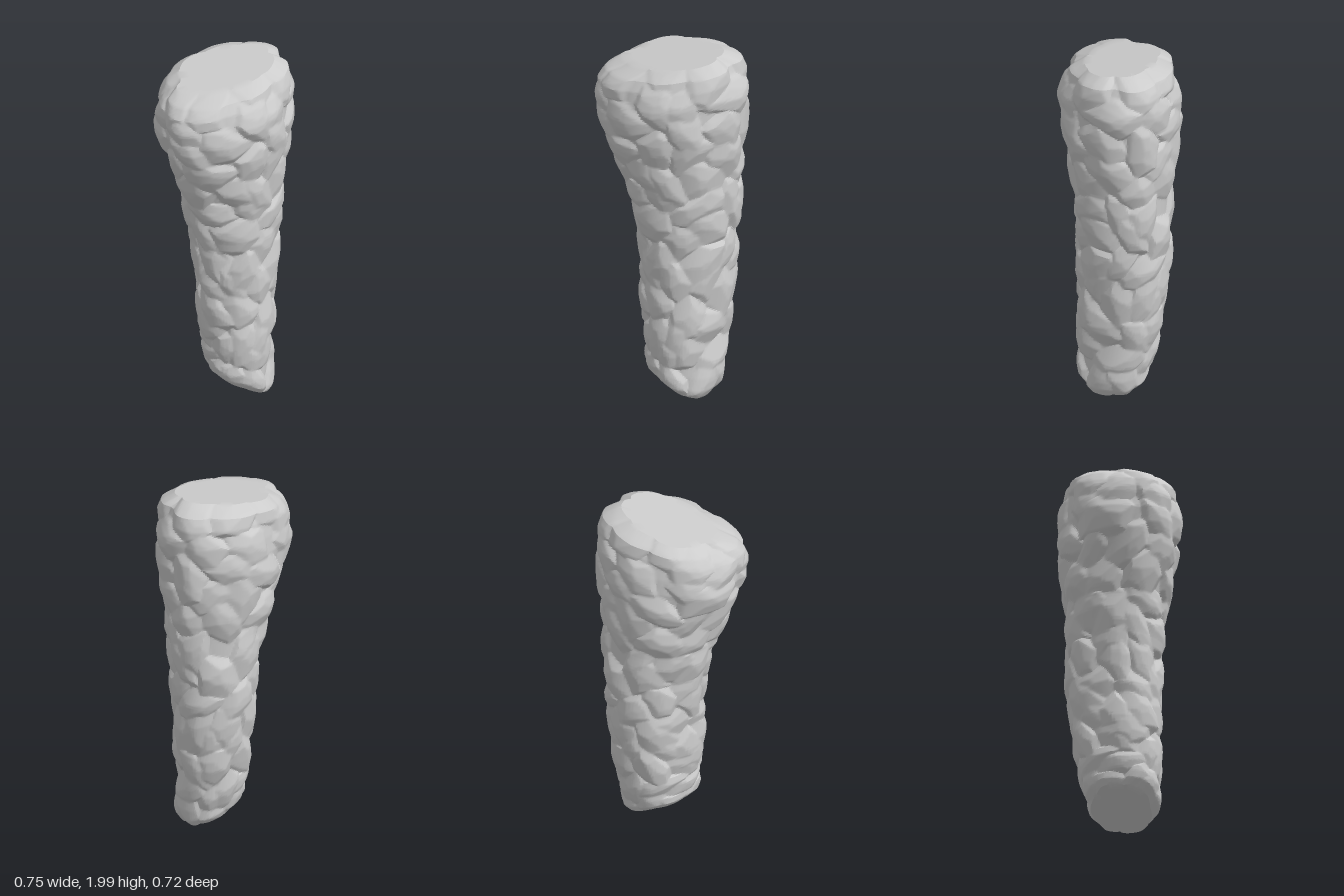
import * as THREE from 'three';
import { toCreasedNormals } from 'three/addons/utils/BufferGeometryUtils.js';

const SEG = 190, RINGS = 230, CAP = 5;

// Outer bounds by height: [y, xMin, xMax, zMin, zMax]
const PROFILE = [
  [0, -0.09, 0.232, -0.19, 0.14], [0.05, -0.114, 0.25, -0.225, 0.174],
  [0.12, -0.126, 0.26, -0.244, 0.186], [0.4, -0.147, 0.272, -0.292, 0.2],
  [0.8, -0.182, 0.288, -0.337, 0.199], [1.0, -0.204, 0.302, -0.342, 0.212],
  [1.2, -0.239, 0.32, -0.347, 0.244], [1.4, -0.302, 0.342, -0.353, 0.299],
  [1.55, -0.35, 0.362, -0.356, 0.34], [1.68, -0.378, 0.374, -0.365, 0.366],
  [1.78, -0.37, 0.374, -0.365, 0.368], [1.88, -0.352, 0.36, -0.354, 0.35],
  [1.95, -0.325, 0.335, -0.325, 0.315], [2.0, -0.275, 0.265, -0.235, 0.23],
];

function seeded(seed) {
  let s = seed;
  return () => (s = (s * 16807) % 2147483647) / 2147483647;
}

function boundsAt(y) {
  let i = 0;
  while (i < PROFILE.length - 2 && PROFILE[i + 1][0] < y) i++;
  const a = PROFILE[i], b = PROFILE[i + 1];
  const t = (y - a[0]) / (b[0] - a[0]);
  return a.map((v, k) => v + (b[k] - v) * t);
}

// Faceted stones scattered over the unrolled surface (angle, height)
function makeStones() {
  const rand = seeded(4711), stones = [];
  const rows = 13, cols = 8;
  for (let r = 0; r < rows; r++) {
    for (let c = 0; c < cols; c++) {
      const facets = [];
      for (let j = 0; j < 12; j++) {
        const dir = (j + rand() * 0.9) * Math.PI / 3;
        const outer = j >= 6; // gentle inner bevels, steep outer ones
        const slope = outer ? 0.45 + rand() * 0.35 : 0.12 + rand() * 0.22;
        const start = outer ? 0.065 + rand() * 0.03 : 0.015 + rand() * 0.035;
        facets.push([Math.cos(dir) * slope, Math.sin(dir) * slope, start * slope]);
      }
      stones.push({
        angle: (c + 0.5 * (r % 2) + (rand() - 0.5) * 0.8) * 2 * Math.PI / cols,
        y: (r + 0.5 + (rand() - 0.5) * 0.8) * 2 / rows,
        height: -0.004 + rand() * 0.015,
        turn: (rand() - 0.5) * 2.6,
        stretch: 0.85 + rand() * 0.6,
        facets,
      });
    }
  }
  return stones;
}

// Height of the highest stone at a surface point
function stoneRelief(stones, angle, y, radius) {
  let best = -0.036;
  for (const s of stones) {
    const dy = y - s.y;
    if (Math.abs(dy) > 0.3) continue;
    let da = angle - s.angle;
    da -= Math.round(da / (2 * Math.PI)) * 2 * Math.PI;
    const dx = da * radius;
    if (Math.abs(dx) > 0.3) continue;
    const cs = Math.cos(s.turn), sn = Math.sin(s.turn);
    const u = (dx * cs + dy * sn) / s.stretch, v = (dy * cs - dx * sn) * s.stretch;
    let drop = 0;
    for (const [fx, fy, f0] of s.facets) drop = Math.max(drop, u * fx + v * fy - f0);
    best = Math.max(best, s.height - drop);
  }
  return best;
}

// Slanted cut planes at both ends
const topPlane = (x, z) => Math.min(2, 1.95 + 0.1 * x - 0.13 * z);
const bottomPlane = (x, z) => Math.max(0, 0.105 - 0.47 * x + 0.08 * (z + 0.08));

// Slightly squared sine and cosine for the cross-section
const squared = (v) => Math.sign(v) * Math.abs(v) ** 0.92;

function pillarGeometry() {
  const stones = makeStones();
  const positions = [], index = [];

  const addRing = (y, scale) => {
    const [, x0, x1, z0, z1] = boundsAt(y);
    const cx = (x0 + x1) / 2, cz = (z0 + z1) / 2, hx = (x1 - x0) / 2, hz = (z1 - z0) / 2;
    const t = y / 2, skew = -0.03 + 0.26 * t; // section leans to a diagonal oval near the top
    for (let i = 0; i < SEG; i++) {
      const a = i / SEG * 2 * Math.PI;
      // Flattened front left corner, stronger towards the top
      const flat = 0.033 * t * t * Math.max(0, Math.cos(a - 0.8)) ** 5;
      const relief = stoneRelief(stones, a, y, (hx + hz) / 2) - flat;
      const x = cx + scale * (hx * squared(Math.cos(a + skew / 2)) + relief * Math.cos(a));
      const z = cz + scale * (hz * squared(Math.sin(a - skew / 2)) + relief * Math.sin(a));
      const lift = bottomPlane(x, z) * (1 - t) ** 8;
      const sink = (2 - topPlane(x, z)) * t ** 8;
      positions.push(x, y + lift - sink, z);
    }
  };

  // Bottom cap, side wall, top cap
  for (let i = 0; i < CAP; i++) addRing(0, Math.max(i / CAP, 0.001));
  for (let i = 0; i <= RINGS; i++) addRing(2 * i / RINGS, 1);
  for (let i = CAP - 1; i >= 0; i--) addRing(2, Math.max(i / CAP, 0.001));

  const total = RINGS + 1 + 2 * CAP;
  for (let r = 0; r < total - 1; r++) {
    for (let i = 0; i < SEG; i++) {
      const n = (i + 1) % SEG;
      const a = r * SEG + i, b = r * SEG + n, c = a + SEG, d = b + SEG;
      index.push(a, c, b, b, c, d);
    }
  }

  const geometry = new THREE.BufferGeometry();
  geometry.setAttribute('position', new THREE.Float32BufferAttribute(positions, 3));
  geometry.setIndex(index);
  return toCreasedNormals(geometry, 0.45);
}

export function createModel() {
  const group = new THREE.Group();
  group.name = 'rockPillar';
  const stone = new THREE.MeshStandardMaterial({ color: 0xcccccc });
  const pillar = new THREE.Mesh(pillarGeometry(), stone);
  pillar.name = 'stonePillar';
  group.add(pillar);
  return group;
}
